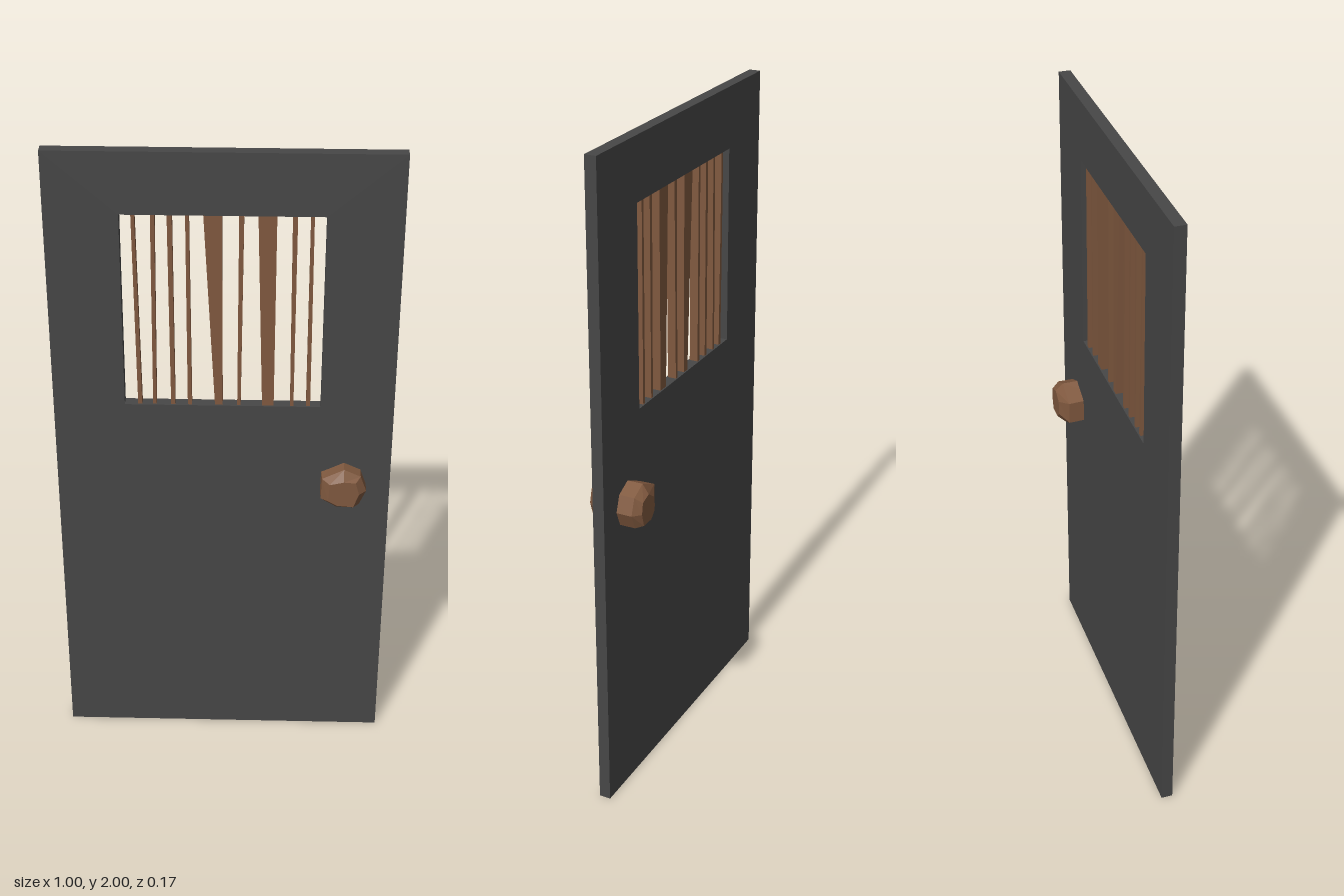
import * as THREE from 'three';
import { mergeVertices } from 'three/addons/utils/BufferGeometryUtils.js';

const panelGrey = new THREE.MeshStandardMaterial({ color: 0x474747, name: 'panelGrey', flatShading: true });
const woodBrown = new THREE.MeshStandardMaterial({ color: 0x80593f, name: 'woodBrown', flatShading: true });

function add(group, geometry, material, name) {
  const mesh = new THREE.Mesh(geometry, material);
  mesh.name = name;
  group.add(mesh);
  return mesh;
}

function rectangle(path, x0, y0, x1, y1) {
  path.moveTo(x0, y0);
  path.lineTo(x1, y0);
  path.lineTo(x1, y1);
  path.lineTo(x0, y1);
  path.closePath();
  return path;
}

// Loft of closed outlines along +z, capped at both ends
function loft(rings) {
  const n = rings[0].points.length;
  const positions = [], index = [];
  rings.forEach(({ z, points }) => points.forEach(([x, y]) => positions.push(x, y, z)));
  for (let r = 0; r < rings.length - 1; r++) {
    for (let i = 0; i < n; i++) {
      const a = r * n + i, b = r * n + (i + 1) % n;
      index.push(a, b, b + n, a, b + n, a + n);
    }
  }
  const last = (rings.length - 1) * n;
  for (let i = 1; i < n - 1; i++) {
    index.push(0, i + 1, i, last, last + i, last + i + 1);
  }
  const geometry = new THREE.BufferGeometry();
  geometry.setAttribute('position', new THREE.Float32BufferAttribute(positions, 3));
  geometry.setIndex(index);
  geometry.computeVertexNormals();
  return geometry;
}

// Upright bar whose width and position differ between bottom and top
function barGeometry(bottom, top, depth) {
  const geometry = mergeVertices(new THREE.BoxGeometry(1, 0.61, depth));
  const p = geometry.attributes.position;
  for (let i = 0; i < p.count; i++) {
    const [x, width] = p.getY(i) > 0 ? top : bottom;
    p.setX(i, x + p.getX(i) * width);
  }
  geometry.translate(0, 1.51, 0.002);
  geometry.computeVertexNormals();
  return geometry;
}

export function createModel() {
  const door = new THREE.Group();
  door.name = 'door';

  // Slab with the window opening
  const outline = rectangle(new THREE.Shape(), -0.5, 0, 0.5, 2);
  outline.holes.push(rectangle(new THREE.Path(), -0.29, 1.21, 0.285, 1.815));
  const slab = new THREE.ExtrudeGeometry(outline, { depth: 0.035, bevelEnabled: false });
  slab.translate(0, 0, -0.015);
  add(door, slab, panelGrey, 'doorPanel');

  // Rough-hewn window bars: [bottom x, width], [top x, width]
  const bars = [
    [[-0.245, 0.012], [-0.252, 0.010]],
    [[-0.202, 0.010], [-0.197, 0.012]],
    [[-0.148, 0.012], [-0.150, 0.014]],
    [[-0.099, 0.012], [-0.101, 0.010]],
    [[-0.014, 0.022], [-0.030, 0.052]],
    [[0.045, 0.010], [0.050, 0.014]],
    [[0.130, 0.034], [0.122, 0.052]],
    [[0.200, 0.010], [0.198, 0.014]],
    [[0.248, 0.012], [0.246, 0.010]],
  ];
  const barGroup = new THREE.Group();
  barGroup.name = 'windowBars';
  bars.forEach(([bottom, top]) => add(barGroup, barGeometry(bottom, top, 0.026), woodBrown, 'windowBar'));
  door.add(barGroup);

  // Chunky faceted knob passing through the slab, counter-clockwise outlines
  const body = [[0.428, 0.945], [0.41, 0.995], [0.36, 1.018], [0.295, 0.985], [0.293, 0.915], [0.34, 0.887], [0.408, 0.898]];
  const frontFace = [[0.406, 0.945], [0.395, 0.985], [0.36, 0.988], [0.318, 0.978], [0.314, 0.92], [0.34, 0.905], [0.39, 0.9]];
  const backFace = [[0.406, 0.945], [0.4, 0.98], [0.365, 0.992], [0.333, 0.97], [0.33, 0.925], [0.35, 0.905], [0.395, 0.905]];
  const backRim = body.map(([x, y]) => [x < 0.3 ? x - 0.006 : x, y]);
  add(door, loft([
    { z: -0.085, points: backFace },
    { z: -0.063, points: backRim },
    { z: 0.06, points: body },
    { z: 0.083, points: frontFace },
  ]), woodBrown, 'doorKnob');

  return door;
}
